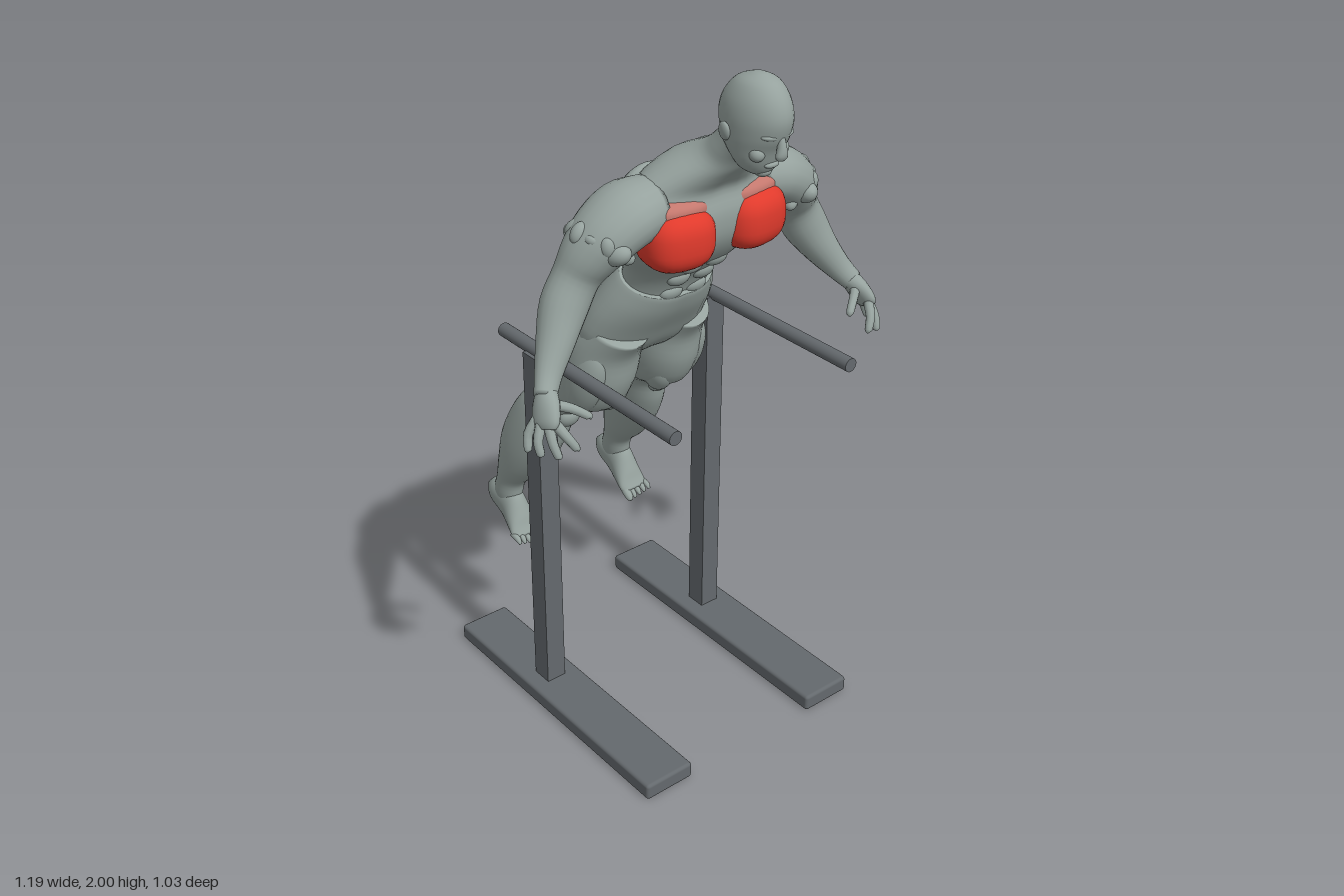
import * as THREE from 'three';
import { RoundedBoxGeometry } from 'three/addons/geometries/RoundedBoxGeometry.js';

const V = (x, y, z) => new THREE.Vector3(x, y, z);
const mat = (name, color) => Object.assign(new THREE.MeshStandardMaterial({ color }), { name });

// Cubic interpolation between the rows of a section table
function refine(rows, steps) {
  const out = [], n = rows.length;
  for (let i = 0; i < n - 1; i++) {
    const [a, b, c, d] = [Math.max(i - 1, 0), i, i + 1, Math.min(i + 2, n - 1)].map(k => rows[k]);
    for (let s = 0; s < steps; s++) {
      const t = s / steps;
      out.push(b.map((_, k) => b[k] + 0.5 * t * (c[k] - a[k] + t * (2 * a[k] - 5 * b[k] + 4 * c[k] - d[k]
        + t * (3 * (b[k] - c[k]) + d[k] - a[k])))));
    }
  }
  out.push(rows[n - 1]);
  return out;
}

// Closed skin over rings { c, u, v }; groove pinches the middle of front and back
function skin(rings, seg = 28, groove = 0) {
  const pos = [], idx = [], n = rings.length;
  for (const { c, u, v } of rings) {
    for (let j = 0; j < seg; j++) {
      const a = j / seg * Math.PI * 2, x = Math.cos(a);
      const k = Math.sin(a) * (1 - groove * Math.exp(-((x / 0.2) ** 2)));
      pos.push(...c.clone().addScaledVector(u, x).addScaledVector(v, k).toArray());
    }
  }
  for (let i = 0; i < n - 1; i++) for (let j = 0; j < seg; j++) {
    const a = i * seg + j, b = i * seg + (j + 1) % seg;
    idx.push(a, b, b + seg, a, b + seg, a + seg);
  }
  pos.push(...rings[0].c.toArray(), ...rings[n - 1].c.toArray());
  for (let j = 0; j < seg; j++) {
    const k = (j + 1) % seg, e = (n - 1) * seg;
    idx.push(n * seg, k, j, n * seg + 1, e + j, e + k);
  }
  // Turn the faces outward if the enclosed volume is negative
  let vol = 0;
  const p = i => V(pos[3 * i], pos[3 * i + 1], pos[3 * i + 2]);
  for (let i = 0; i < idx.length; i += 3) vol += p(idx[i]).dot(p(idx[i + 1]).cross(p(idx[i + 2])));
  if (vol < 0) idx.reverse();
  const g = new THREE.BufferGeometry();
  g.setAttribute('position', new THREE.Float32BufferAttribute(pos, 3));
  g.setIndex(idx);
  g.computeVertexNormals();
  return g;
}

// Rows: [inner x, outer x, back y, back z, front y, front z]
const loft = (rows, s = 1, groove = 0) => skin(refine(rows, 4).map(([xi, xo, yb, zb, yf, zf]) => ({
  c: V(s * (xi + xo) / 2, (yb + yf) / 2, (zb + zf) / 2),
  u: V((xo - xi) / 2, 0, 0), v: V(0, (yf - yb) / 2, (zf - zb) / 2) })), 32, groove);
// Rows: [half width, back y, back z, front y, front z]
const core = (rows, groove) => loft(rows.map(([w, ...r]) => [-w, w, ...r]), 1, groove);

// Limb along a path; rows: [x, y, z, radius toward z, radius sideways]
function limb(rows, s = 1, steps = 4, seg = 20) {
  const r = refine(rows, steps), at = i => V(s * r[i][0], r[i][1], r[i][2]);
  return skin(r.map((row, i) => {
    const t = at(Math.min(i + 1, r.length - 1)).sub(at(Math.max(i - 1, 0))).normalize();
    const u = V(0, 0, 1).addScaledVector(t, -t.z).normalize();
    const v = t.clone().cross(u);
    return { c: at(i), u: u.multiplyScalar(row[3]), v: v.multiplyScalar(row[4]) };
  }), seg);
}

// Ellipsoid; power below 1 makes it boxier
function blob(rx, ry, rz, power = 1) {
  const g = new THREE.SphereGeometry(1, 28, 20), p = g.attributes.position;
  const f = v => Math.sign(v) * Math.abs(v) ** power;
  for (let i = 0; i < p.count; i++) p.setXYZ(i, f(p.getX(i)) * rx, f(p.getY(i)) * ry, f(p.getZ(i)) * rz);
  g.computeVertexNormals();
  return g;
}

export function createModel() {
  const model = new THREE.Group();
  model.name = 'dipExercise';
  const skinMat = mat('body grey', 0x96a29e), steel = mat('equipment grey', 0x64696d);
  const red = mat('muscle red', 0xe03a2c), pink = mat('muscle edge pink', 0xc4786e);
  const add = (name, geo, m = skinMat, p = [0, 0, 0], rot = [0, 0, 0]) => {
    const mesh = new THREE.Mesh(geo, m);
    mesh.name = name;
    mesh.position.set(...p);
    mesh.rotation.set(...rot);
    model.add(mesh);
  };

  // Head and face
  add('head', core([
    [.012, 1.997, .40, 1.998, .43], [.045, 1.978, .352, 1.982, .472], [.066, 1.94, .317, 1.945, .503],
    [.074, 1.90, .303, 1.90, .515], [.073, 1.86, .308, 1.855, .505], [.069, 1.83, .32, 1.82, .487],
    [.06, 1.80, .345, 1.785, .473], [.045, 1.775, .365, 1.76, .458], [.022, 1.762, .39, 1.747, .44]]));
  add('nose', limb([[0, 1.865, .497, .008, .008], [0, 1.835, .502, .012, .012],
    [0, 1.813, .502, .012, .017], [0, 1.806, .492, .006, .01]]));
  add('lips', blob(.022, .009, .012), skinMat, [0, 1.783, .468]);
  add('chin', blob(.024, .016, .02), skinMat, [0, 1.76, .44]);

  // Torso, with a groove down the spine and the breastbone
  add('torso', core([
    [.055, 1.87, .325, 1.80, .42], [.062, 1.83, .295, 1.77, .385], [.078, 1.795, .25, 1.735, .36],
    [.14, 1.755, .165, 1.70, .33], [.2, 1.70, .115, 1.66, .305], [.225, 1.63, .09, 1.60, .318],
    [.213, 1.55, .06, 1.53, .31], [.178, 1.48, .035, 1.465, .27], [.145, 1.43, .01, 1.40, .2],
    [.135, 1.39, -.01, 1.33, .158], [.14, 1.36, -.03, 1.27, .14]], .07));
  add('shorts', core([
    [.143, 1.412, -.008, 1.322, .166], [.152, 1.40, -.024, 1.305, .162], [.174, 1.35, -.06, 1.26, .14],
    [.195, 1.29, -.095, 1.2, .10], [.203, 1.22, -.13, 1.14, .06], [.17, 1.15, -.145, 1.10, .01],
    [.07, 1.12, -.10, 1.10, -.03]], .06));

  for (const s of [1, -1]) {
    const side = s > 0 ? 'left' : 'right';
    const put = (name, geo, m, [x, y, z], [a, b, c] = [0, 0, 0]) =>
      add(side + name, geo, m, [s * x, y, z], [a, s * b, s * c]);

    put('Ear', blob(.01, .026, .018), skinMat, [.076, 1.86, .383], [.2, 0, -.2]);
    put('Brow', blob(.024, .008, .012), skinMat, [.027, 1.862, .49], [0, .35, .1]);
    put('Cheek', blob(.02, .02, .02), skinMat, [.038, 1.815, .458]);

    // Highlighted chest muscle and its upper edge
    put('ChestMuscle', blob(.098, .084, .09, .75), red, [.119, 1.556, .255], [0, .15, 0]);
    put('ChestEdge', blob(.095, .034, .062, .8), pink, [.119, 1.628, .247], [0, .15, 0]);

    // Stomach, back and seat muscles
    [[1.445, .237], [1.39, .185], [1.335, .153]].forEach(([y, z]) =>
      put('Abdominal', blob(.036, .027, .02), skinMat, [.04, y, z - .008], [.6, 0, 0]));
    put('ShoulderBlade', blob(.08, .09, .035), skinMat, [.115, 1.63, .115], [.35, 0, .2]);
    put('BackMuscle', blob(.06, .12, .05), skinMat, [.13, 1.52, .10], [.45, 0, -.2]);
    put('Buttock', blob(.092, .105, .085), skinMat, [.098, 1.195, -.08], [.5, 0, 0]);

    // Leg, with thigh and calf muscles
    add(side + 'Leg', loft([
      [.02, .19, 1.26, -.09, 1.17, .09], [.005, .212, 1.18, -.15, 1.11, .05], [.008, .219, 1.08, -.192, 1.02, .03],
      [.025, .215, 1.0, -.24, .94, -.015], [.06, .215, .94, -.28, .90, -.10], [.09, .235, .89, -.335, .86, -.155],
      [.105, .25, .82, -.385, .78, -.178], [.12, .258, .73, -.425, .69, -.225], [.14, .255, .64, -.44, .61, -.29],
      [.16, .245, .56, -.455, .55, -.355], [.168, .243, .50, -.475, .50, -.37], [.178, .235, .46, -.46, .46, -.38]], s));
    put('OuterThigh', blob(.05, .13, .065), skinMat, [.172, 1.03, -.055], [.45, 0, .02]);
    put('InnerThigh', blob(.042, .075, .05), skinMat, [.085, .97, -.06], [.5, 0, .25]);
    put('Kneecap', blob(.035, .035, .025), skinMat, [.165, .865, -.155], [.5, 0, 0]);
    put('Calf', blob(.05, .1, .05), skinMat, [.17, .75, -.365], [.35, 0, .08]);

    // Foot with five toes
    add(side + 'Foot', loft([
      [.192, .222, .475, -.513, .50, -.505], [.175, .24, .435, -.49, .53, -.46], [.17, .243, .41, -.44, .52, -.38],
      [.163, .25, .39, -.39, .46, -.345], [.16, .255, .376, -.35, .42, -.33], [.168, .25, .374, -.332, .395, -.318]], s));
    for (let i = 0; i < 5; i++) {
      const x = .176 + i * .018, r = i ? .009 : .013, lift = i * .004;
      add(side + 'Toe', limb([[x, .395, -.345, r, r], [x, .375 + lift, -.317, r, r],
        [x, .363 + lift, -.305, r * .5, r * .5]], s, 3, 10));
    }

    // Arm from shoulder to wrist
    add(side + 'Arm', limb([
      [.16, 1.63, .20, .09, .08], [.23, 1.625, .20, .104, .083], [.295, 1.59, .198, .096, .078],
      [.335, 1.545, .188, .078, .072], [.365, 1.49, .175, .06, .064], [.405, 1.42, .175, .06, .064],
      [.45, 1.345, .198, .05, .05], [.495, 1.28, .228, .034, .037], [.525, 1.24, .255, .028, .03]], s));
    // Uneven bunched edge around the upper arm
    for (let i = 0; i < 11; i++) {
      const a = i / 11 * Math.PI * 2, k = .022 + .008 * Math.sin(i * 4.7);
      const across = .064 * Math.cos(a);
      put('ArmBunch', blob(k, k * 1.4, k), skinMat,
        [.315 + across * .8 + .012 * Math.sin(i * 3), 1.572 + across * .6, .193 + .076 * Math.sin(a)],
        [i * 1.3, i * .7, .6]);
    }

    // Hand with spread fingers
    add(side + 'Palm', limb([[.515, 1.252, .247, .026, .028], [.532, 1.222, .268, .042, .026],
      [.546, 1.19, .285, .046, .022], [.552, 1.175, .292, .036, .014]], s));
    const fingers = [
      [[.553, 1.19, .258], [.577, 1.155, .252], [.586, 1.118, .262]],
      [[.555, 1.185, .277], [.575, 1.15, .29], [.576, 1.118, .302]],
      [[.548, 1.185, .30], [.553, 1.15, .322], [.548, 1.117, .337]],
      [[.535, 1.19, .312], [.52, 1.16, .338], [.503, 1.13, .35]],
      [[.518, 1.225, .275], [.482, 1.215, .305], [.448, 1.192, .328]]];
    fingers.forEach((f, i) => add(side + (i < 4 ? 'Finger' : 'Thumb'),
      limb([...f.map((p, k) => [...p, .0145 - k * .002, .0145 - k * .002]),
        [f[2][0], f[2][1] - .006, f[2][2] + .002, .004, .004]], s, 3, 10)));

    // Dip bar: base, post and rail
    put('Base', new RoundedBoxGeometry(.16, .05, .93, 2, .01), steel, [.3, .025, .01]);
    put('Post', new THREE.BoxGeometry(.062, 1.1, .064), steel, [.3, .59, -.095]);
    put('Rail', new THREE.CylinderGeometry(.02, .02, .745, 24), steel, [.3, 1.145, .1125], [Math.PI / 2, 0, 0]);
  }
  return model;
}
